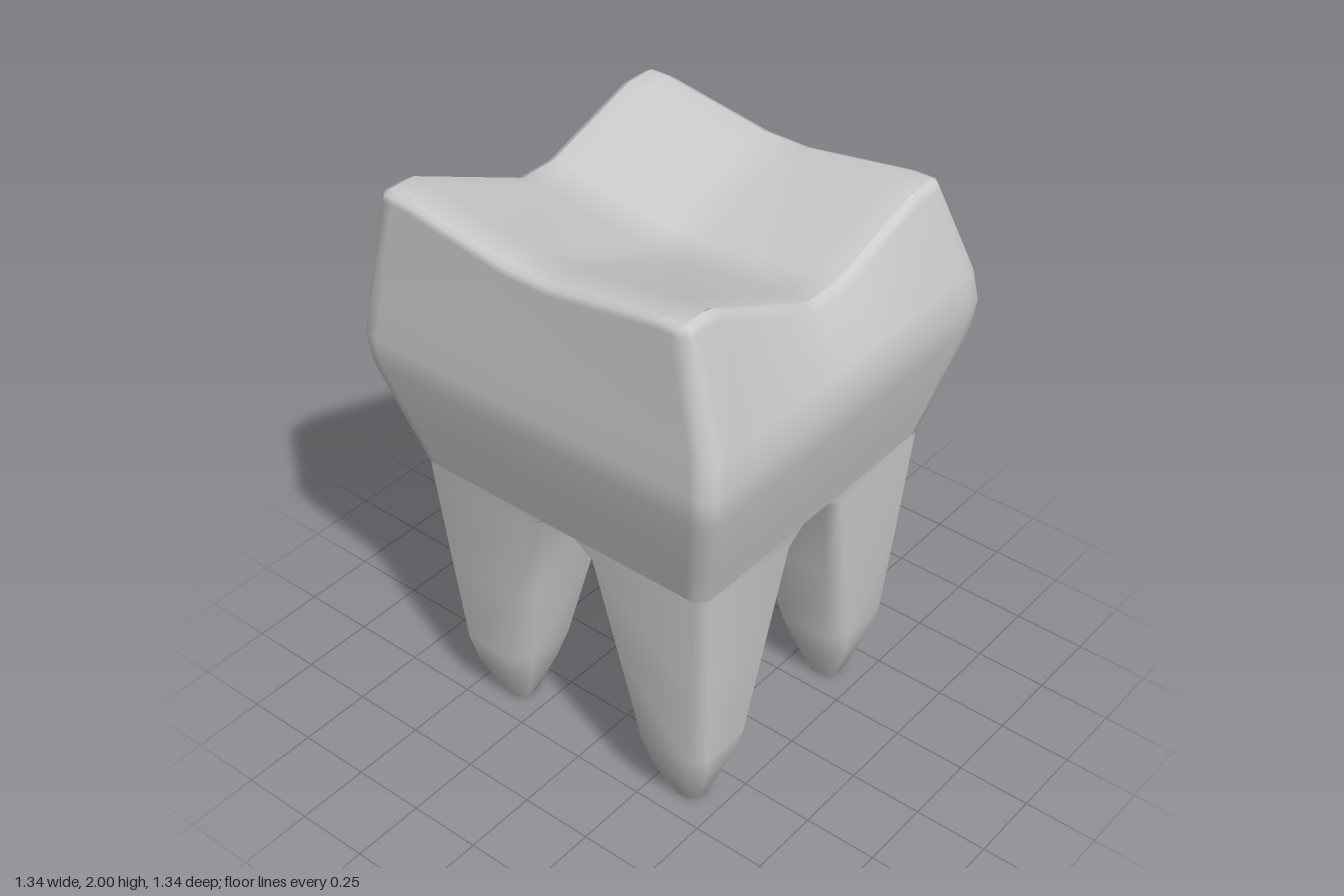
import * as THREE from 'three';

// Chamfered rectangle in x/z, running from +x towards +z.
// c holds the chamfers of the (+,+), (-,+), (-,-) and (+,-) corners; n splits each straight side.
function ring(x0, x1, z0, z1, c, n) {
  const [a, b, d, e] = c;
  const k = [
    [x1, z0 + e], [x1, z1 - a], [x1 - a, z1], [x0 + b, z1],
    [x0, z1 - b], [x0, z0 + d], [x0 + d, z0], [x1 - e, z0],
  ];
  const pts = [];
  for (let i = 0; i < 8; i++) {
    const p = k[i], q = k[(i + 1) % 8];
    const m = i % 2 ? 1 : n;
    for (let j = 0; j < m; j++) {
      const t = j / m;
      pts.push([p[0] + (q[0] - p[0]) * t, p[1] + (q[1] - p[1]) * t]);
    }
  }
  return pts;
}

// Skin over a stack of equal rings of [x, y, z] points
function loft(rings, flip = false) {
  const n = rings[0].length, index = [];
  for (let j = 0; j < rings.length - 1; j++) {
    for (let i = 0; i < n; i++) {
      const a = j * n + i, b = j * n + (i + 1) % n, c = a + n, d = b + n;
      if (flip) index.push(a, b, c, b, d, c);
      else index.push(a, c, b, b, c, d);
    }
  }
  const geo = new THREE.BufferGeometry();
  geo.setAttribute('position', new THREE.Float32BufferAttribute(rings.flat(2), 3));
  geo.setIndex(index);
  geo.computeVertexNormals();
  return geo;
}

// Fold lines of the chewing surface
const FOLDS_X = [-0.615, -0.52, -0.07, 0.07, 0.43, 0.535];
const FOLDS_Z = [-0.535, -0.46, -0.08, 0.08, 0.46, 0.535];

// Height of the chewing surface: a valley across x plus a shallower one across z
function biteHeight(x, z) {
  const ramp = (v, a, b) => THREE.MathUtils.clamp((v - a) / (b - a), 0, 1);
  const rise = x < 0 ? 0.21 * ramp(-x, 0.07, 0.52) : 0.12 * ramp(x, 0.07, 0.43);
  return 1.79 + rise - 0.06 * (1 - ramp(Math.abs(z), 0.08, 0.46));
}

function crownGeometry() {
  const n = 32, rings = [];
  // Bulging side walls: height, half width
  for (const [y, w] of [[1, 0.555], [1.2, 0.608], [1.39, 0.657], [1.49, 0.668], [1.6, 0.652]]) {
    rings.push(ring(-w, w, -w, w, Array(4).fill(0.032), n).map(([x, z]) => [x, y, z]));
  }
  // Bevelled rim, steeper on the -x side
  const rim = (neg, pos, drop, c) =>
    ring(-neg, pos, -pos, pos, Array(4).fill(c), n)
      .map(([x, z]) => [x, biteHeight(x, z) - drop, z]);
  rings.push(rim(0.642, 0.564, 0.03, 0.025), rim(0.636, 0.554, 0.008, 0.02), rim(0.615, 0.535, 0, 0.002));
  return loft(rings);
}

// Chewing surface: a plane folded along the valley lines
function biteGeometry() {
  const geo = new THREE.PlaneGeometry(1, 1, 5, 5).rotateX(-Math.PI / 2);
  const pos = geo.attributes.position;
  for (let i = 0; i < pos.count; i++) {
    const x = FOLDS_X[i % 6], z = FOLDS_Z[Math.floor(i / 6)];
    pos.setXYZ(i, x, biteHeight(x, z), z);
  }
  geo.computeVertexNormals();
  return geo;
}

// One root in the quadrant given by the signs sx, sz
function rootGeometry(sx, sz) {
  // height, inner edge, outer edge, chamfers: outer corner, side corners, inner corner
  const levels = [
    [0, 0.32, 0.42, 0.025, 0.025, 0.025],
    [0.17, 0.255, 0.487, 0.045, 0.05, 0.05],
    [0.27, 0.228, 0.507, 0.045, 0.05, 0.05],
    [0.6, 0.166, 0.53, 0.04, 0.045, 0.045],
    [0.95, 0.1, 0.552, 0.032, 0.035, 0.035],
    [1.0, 0.04, 0.555, 0.032, 0.03, 0.03],
  ];
  const rings = levels.map(([y, a, b, o, s, i]) =>
    ring(a, b, a, b, [o, s, i, s], 1).map(([x, z]) => [x * sx, y, z * sz]));
  // Flat tip
  rings.unshift(rings[0].map(() => [0.37 * sx, 0, 0.37 * sz]));
  return loft(rings, sx * sz < 0);
}

export function createModel() {
  const model = new THREE.Group();
  model.name = 'molarTooth';
  const material = new THREE.MeshStandardMaterial({ color: 0xcccccc });
  const add = (name, geo) => {
    const mesh = new THREE.Mesh(geo, material);
    mesh.name = name;
    model.add(mesh);
  };

  add('crown', crownGeometry());
  add('chewingSurface', biteGeometry());

  // Underside of the crown between the roots
  const base = ring(-0.555, 0.555, -0.555, 0.555, Array(4).fill(0.032), 1);
  add('crownUnderside', loft([
    base.map(() => [0, 1, 0]),
    base.map(([x, z]) => [x, 1, z]),
  ]));

  for (const sx of [1, -1]) {
    for (const sz of [1, -1]) {
      add((sz > 0 ? 'front' : 'back') + (sx > 0 ? 'Left' : 'Right') + 'Root', rootGeometry(sx, sz));
    }
  }
  return model;
}
